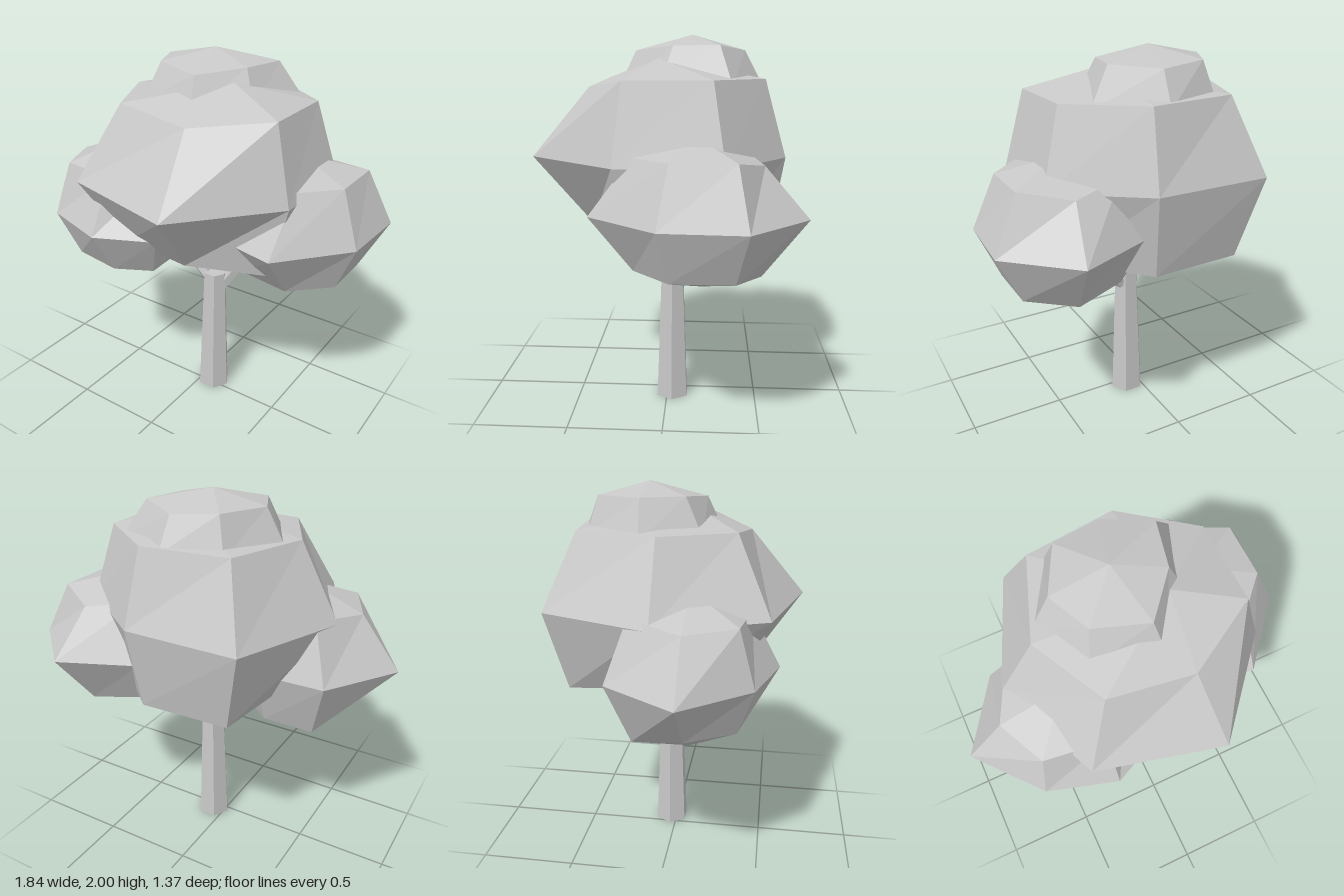
import * as THREE from 'three';

const grey = new THREE.MeshStandardMaterial({ color: 0xc8c8c8 });
grey.name = 'grey';
grey.flatShading = true;

// Faceted clump: bottom point, rings of [x, z, own height if uneven] corners
// running from +z towards +x, and top point.
function clump(name, bottom, rings, top) {
  const n = rings[0].xz.length;
  const pts = [bottom, ...rings.flatMap(r => r.xz.map(([x, z, y = r.y]) => [x, y, z])), top];
  const at = (r, i) => 1 + r * n + (i % n);
  const index = [];
  const last = rings.length - 1;
  for (let i = 0; i < n; i++) {
    index.push(0, at(0, i + 1), at(0, i));
    for (let r = 0; r < last; r++) {
      index.push(at(r, i), at(r, i + 1), at(r + 1, i + 1));
      index.push(at(r, i), at(r + 1, i + 1), at(r + 1, i));
    }
    index.push(at(last, i), at(last, i + 1), pts.length - 1);
  }
  const g = new THREE.BufferGeometry();
  g.setAttribute('position', new THREE.Float32BufferAttribute(pts.flat(), 3));
  g.setIndex(index);
  const flat = g.toNonIndexed();
  flat.computeVertexNormals();
  const mesh = new THREE.Mesh(flat, grey);
  mesh.name = name;
  return mesh;
}

// Tapered straight limb between two points.
function limb(name, from, to, r0, r1, sides, turn = 0) {
  const a = new THREE.Vector3(...from), b = new THREE.Vector3(...to);
  const dir = b.clone().sub(a);
  const g = new THREE.CylinderGeometry(r1, r0, dir.length(), sides).rotateY(turn);
  const mesh = new THREE.Mesh(g, grey);
  mesh.position.copy(a).add(b).multiplyScalar(0.5);
  mesh.quaternion.setFromUnitVectors(new THREE.Vector3(0, 1, 0), dir.normalize());
  mesh.name = name;
  return mesh;
}

export function createModel() {
  const tree = new THREE.Group();
  tree.name = 'tree';

  // Trunk and forked branches
  tree.add(
    limb('trunk', [0.073, 0, -0.03], [0.073, 0.77, -0.03], 0.095, 0.066, 6, Math.PI / 6),
    limb('rightBranch', [0.04, 0.73, -0.02], [-0.2, 1.03, 0.05], 0.034, 0.028, 5),
    limb('leftBranch', [0.115, 0.69, -0.05], [0.3, 0.98, -0.09], 0.034, 0.028, 5)
  );

  // Large central foliage
  tree.add(clump('mainFoliage', [0.07, 0.84, -0.05], [
    { y: 1.03, xz: [[0.17, 0.39], [0.54, 0.18, 0.99], [0.53, -0.24, 0.99], [0.18, -0.54, 0.96],
      [-0.3, -0.52, 0.96], [-0.43, -0.03], [-0.24, 0.34]] },
    { y: 1.39, xz: [[0.24, 0.68], [0.64, 0.22], [0.64, -0.3], [0.21, -0.61],
      [-0.4, -0.61], [-0.64, -0.03], [-0.4, 0.52]] },
    { y: 1.78, xz: [[0.18, 0.39, 1.74], [0.54, 0.18], [0.53, -0.24], [0.18, -0.5],
      [-0.28, -0.45], [-0.43, -0.03], [-0.24, 0.34]] }
  ], [0.21, 1.88, 0.03]));

  // Small crown on top
  tree.add(clump('crownFoliage', [0, 1.6, -0.13], [
    { y: 1.75, xz: [[0.1, 0.24], [0.32, 0.02], [0.41, -0.33], [0.08, -0.49],
      [-0.22, -0.41], [-0.39, -0.12], [-0.24, 0.17]] },
    { y: 1.94, xz: [[0.07, 0.16, 1.92], [0.24, -0.04], [0.29, -0.27], [0.07, -0.4, 1.92],
      [-0.17, -0.36], [-0.29, -0.13], [-0.19, 0.08]] }
  ], [0, 2, -0.13]));

  // Foliage on the model's right
  tree.add(clump('rightFoliage', [-0.38, 0.71, 0.13], [
    { y: 0.88, xz: [[-0.28, 0.42], [-0.09, 0.32], [-0.11, -0.04], [-0.32, -0.16, 0.83],
      [-0.58, -0.13, 0.81], [-0.7, 0.14], [-0.56, 0.38]] },
    { y: 1.13, xz: [[-0.28, 0.57], [0.02, 0.43], [0, -0.1], [-0.3, -0.25],
      [-0.67, -0.24], [-0.92, 0.13], [-0.64, 0.46]] },
    { y: 1.41, xz: [[-0.28, 0.42], [-0.1, 0.24], [-0.13, -0.02], [-0.32, -0.13],
      [-0.57, -0.14, 1.43], [-0.71, 0.13, 1.4], [-0.59, 0.38]] }
  ], [-0.38, 1.53, 0.13]));

  // Foliage on the model's left
  tree.add(clump('leftFoliage', [0.49, 0.79, -0.19], [
    { y: 0.9, xz: [[0.6, 0.13], [0.79, -0.05], [0.79, -0.35], [0.56, -0.48, 0.87],
      [0.3, -0.4], [0.19, -0.14, 0.88], [0.3, 0.08]] },
    { y: 1.16, xz: [[0.61, 0.34], [0.9, 0], [0.92, -0.4], [0.61, -0.69],
      [0.22, -0.52], [0.05, -0.12], [0.22, 0.25]] },
    { y: 1.44, xz: [[0.62, 0.13], [0.79, -0.05], [0.79, -0.35], [0.56, -0.48, 1.4],
      [0.3, -0.4], [0.19, -0.14], [0.3, 0.08]] }
  ], [0.5, 1.52, -0.17]));

  return tree;
}
